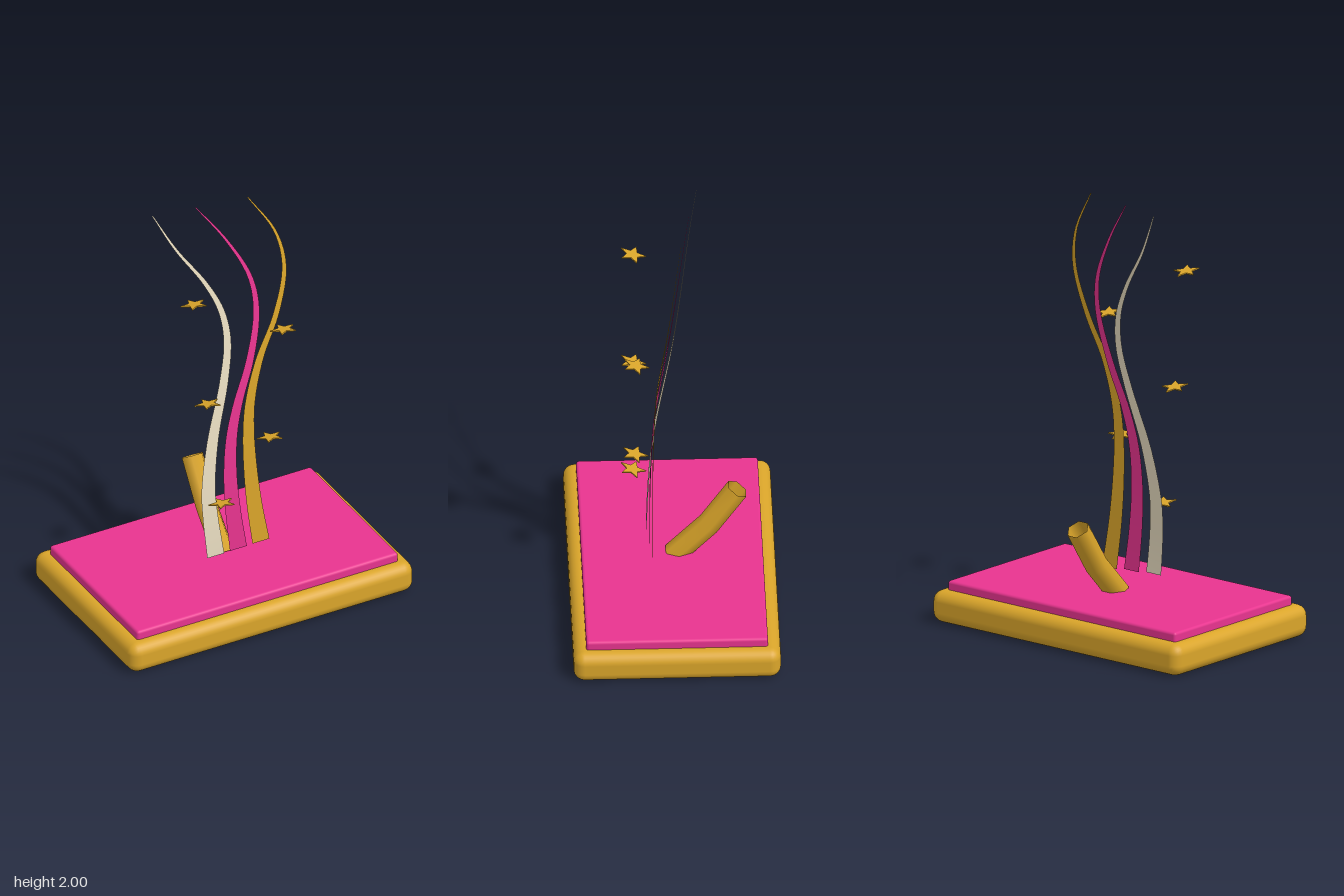
import * as THREE from 'three';
import { RoundedBoxGeometry } from 'three/addons/geometries/RoundedBoxGeometry.js';

const GOLD = 0xdaa52a, PINK = 0xe8348f, CREAM = 0xe8dcc0;

function part(name, geometry, color, side = THREE.FrontSide) {
  const mesh = new THREE.Mesh(geometry, new THREE.MeshStandardMaterial({ color, side }));
  mesh.name = name;
  return mesh;
}

// Tapering strip whose width always runs along x; z drifts back towards the tip
function ribbonGeometry(points, zBase, zTip, power, steps = 48) {
  const path = new THREE.CatmullRomCurve3(points.map(([x, y]) => new THREE.Vector3(x, y, 0)));
  const y0 = points[0][1], y1 = points[points.length - 1][1];
  const positions = [], index = [];
  for (let i = 0; i <= steps; i++) {
    const p = path.getPoint(i / steps);
    const t = THREE.MathUtils.clamp((p.y - y0) / (y1 - y0), 0, 1);
    const half = THREE.MathUtils.lerp(0.043, 0.003, t);
    const z = THREE.MathUtils.lerp(zBase, zTip, t ** power);
    positions.push(p.x - half, p.y, z, p.x + half, p.y, z);
    if (i < steps) {
      const a = i * 2;
      index.push(a, a + 1, a + 3, a, a + 3, a + 2);
    }
  }
  const geometry = new THREE.BufferGeometry();
  geometry.setAttribute('position', new THREE.Float32BufferAttribute(positions, 3));
  geometry.setIndex(index);
  geometry.computeVertexNormals();
  return geometry;
}

// Thin five-pointed star lying nearly flat, its front edge tipped up
function starGeometry() {
  const shape = new THREE.Shape();
  for (let i = 0; i < 10; i++) {
    const r = i % 2 ? 0.027 : 0.062;
    const a = Math.PI / 2 + (i * Math.PI) / 5;
    shape[i ? 'lineTo' : 'moveTo'](r * Math.cos(a), r * Math.sin(a));
  }
  shape.closePath();
  const geometry = new THREE.ExtrudeGeometry(shape, { depth: 0.006, bevelEnabled: false });
  geometry.translate(0, 0, -0.003);
  geometry.rotateX(-Math.PI / 2 - 0.2);
  return geometry;
}

export function createModel() {
  const model = new THREE.Group();
  model.name = 'ribbonStand';

  // Base tray and inset pad
  const base = part('base', new RoundedBoxGeometry(1.445, 0.148, 0.925, 3, 0.05), GOLD);
  base.position.y = 0.074;
  const pad = part('pad', new RoundedBoxGeometry(1.33, 0.06, 0.81, 2, 0.013), PINK);
  pad.position.y = 0.16;
  model.add(base, pad);

  // Bent, open six-sided spout leaning backwards
  const spoutPath = new THREE.CatmullRomCurve3([
    new THREE.Vector3(0, 0.164, -0.005),
    new THREE.Vector3(0, 0.35, -0.178),
    new THREE.Vector3(0, 0.524, -0.291),
  ]);
  model.add(part('spout', new THREE.TubeGeometry(spoutPath, 2, 0.053, 6), GOLD, THREE.DoubleSide));

  // Rising ribbons: centre line [x, y], then z at base, z at tip, z curve
  const ribbons = [
    ['creamRibbon', CREAM, [[-0.103, 0.25], [-0.125, 0.45], [-0.13, 0.6], [-0.095, 0.84], [-0.02, 1.11],
      [0.013, 1.3], [-0.004, 1.45], [-0.07, 1.6], [-0.2, 1.8], [-0.298, 1.99]], 0.11, -0.12, 1.6],
    ['pinkRibbon', PINK, [[0.018, 0.245], [-0.008, 0.45], [-0.02, 0.65], [-0.008, 0.84], [0.03, 1.0],
      [0.102, 1.2], [0.15, 1.43], [0.132, 1.6], [0.035, 1.8], [-0.1, 1.995]], 0.1, -0.08, 2.3],
    ['goldRibbon', GOLD, [[0.138, 0.24], [0.105, 0.45], [0.085, 0.65], [0.078, 0.84], [0.09, 1.0],
      [0.143, 1.2], [0.235, 1.4], [0.29, 1.62], [0.26, 1.8], [0.14, 2.0]], 0.09, 0.035 * -1, 3],
  ];
  for (const [name, color, points, zBase, zTip, power] of ribbons) {
    model.add(part(name, ribbonGeometry(points, zBase, zTip, power), color, THREE.DoubleSide));
  }

  // Floating stars alternating from side to side
  const star = starGeometry();
  for (let i = 0; i < 5; i++) {
    const mesh = part('star', star, GOLD);
    mesh.position.set((i % 2 ? 1 : -1) * (0.105 + 0.035 * i), 0.566 + 0.275 * i, 0.172 - 0.001 * i);
    model.add(mesh);
  }

  return model;
}
